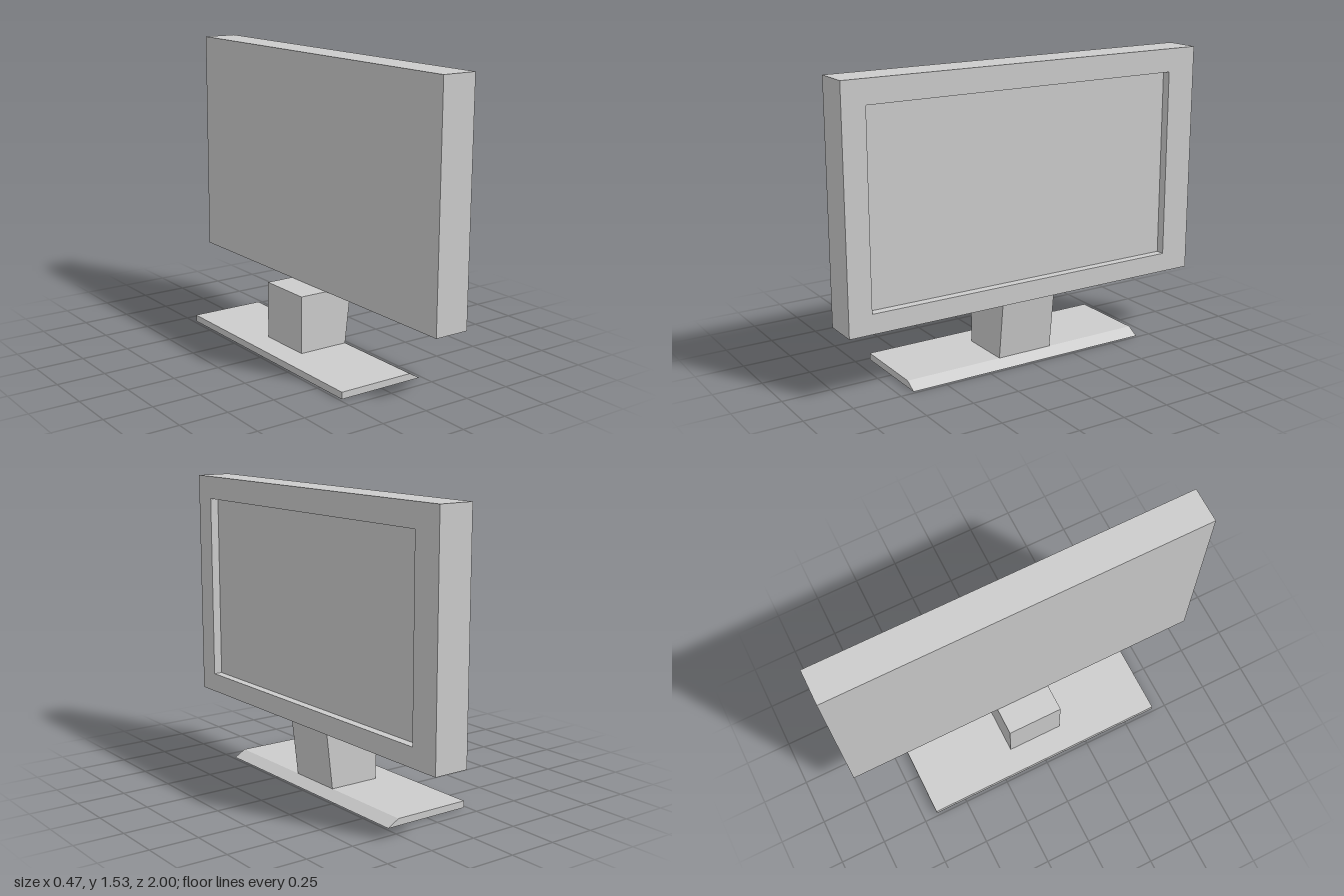
import * as THREE from 'three';

const material = new THREE.MeshStandardMaterial({ color: 0xcccccc });

function addMesh(group, name, geometry) {
  const mesh = new THREE.Mesh(geometry, material);
  mesh.name = name;
  group.add(mesh);
}

// Side profile in x/y, extruded symmetrically along z
function profileSolid(points, width) {
  const shape = new THREE.Shape(points.map(([x, y]) => new THREE.Vector2(x, y)));
  return new THREE.ExtrudeGeometry(shape, { depth: width, bevelEnabled: false })
    .translate(0, 0, -width / 2);
}

// Rectangle at a given x, counter-clockwise as seen from +x
function rectLoop(x, y0, y1, z0, z1) {
  return [[x, y0, z1], [x, y0, z0], [x, y1, z0], [x, y1, z1]];
}

// Flat-sided solid skinned over successive loops, capped at both ends
function loftLoops(loops) {
  const positions = [];
  const quad = (a, b, c, d) => positions.push(...a, ...b, ...c, ...a, ...c, ...d);
  for (let k = 0; k + 1 < loops.length; k++) {
    const a = loops[k], b = loops[k + 1];
    for (let i = 0; i < 4; i++) {
      const j = (i + 1) % 4;
      quad(a[i], a[j], b[j], b[i]);
    }
  }
  quad(...[...loops[0]].reverse());
  quad(...loops[loops.length - 1]);
  const geometry = new THREE.BufferGeometry();
  geometry.setAttribute('position', new THREE.Float32BufferAttribute(positions, 3));
  geometry.computeVertexNormals();
  return geometry;
}

export function createModel() {
  const group = new THREE.Group();
  group.name = 'monitor';

  // Casing with bezel and recessed screen, facing +x
  addMesh(group, 'screenPanel', loftLoops([
    rectLoop(0.05, 0.335, 1.53, -1, 1),
    rectLoop(0.235, 0.335, 1.53, -1, 1),
    rectLoop(0.235, 0.435, 1.41, -0.84, 0.88),
    rectLoop(0.19, 0.435, 1.41, -0.84, 0.88),
  ]));

  // Neck with a leaning front face
  addMesh(group, 'neck', profileSolid(
    [[-0.1, 0.035], [0.175, 0.035], [0.21, 0.335], [-0.1, 0.335]], 0.305));

  // Foot plate with a sloped front edge
  addMesh(group, 'base', profileSolid(
    [[-0.235, 0], [0.235, 0], [0.175, 0.035], [-0.235, 0.035]], 1.35));

  return group;
}
